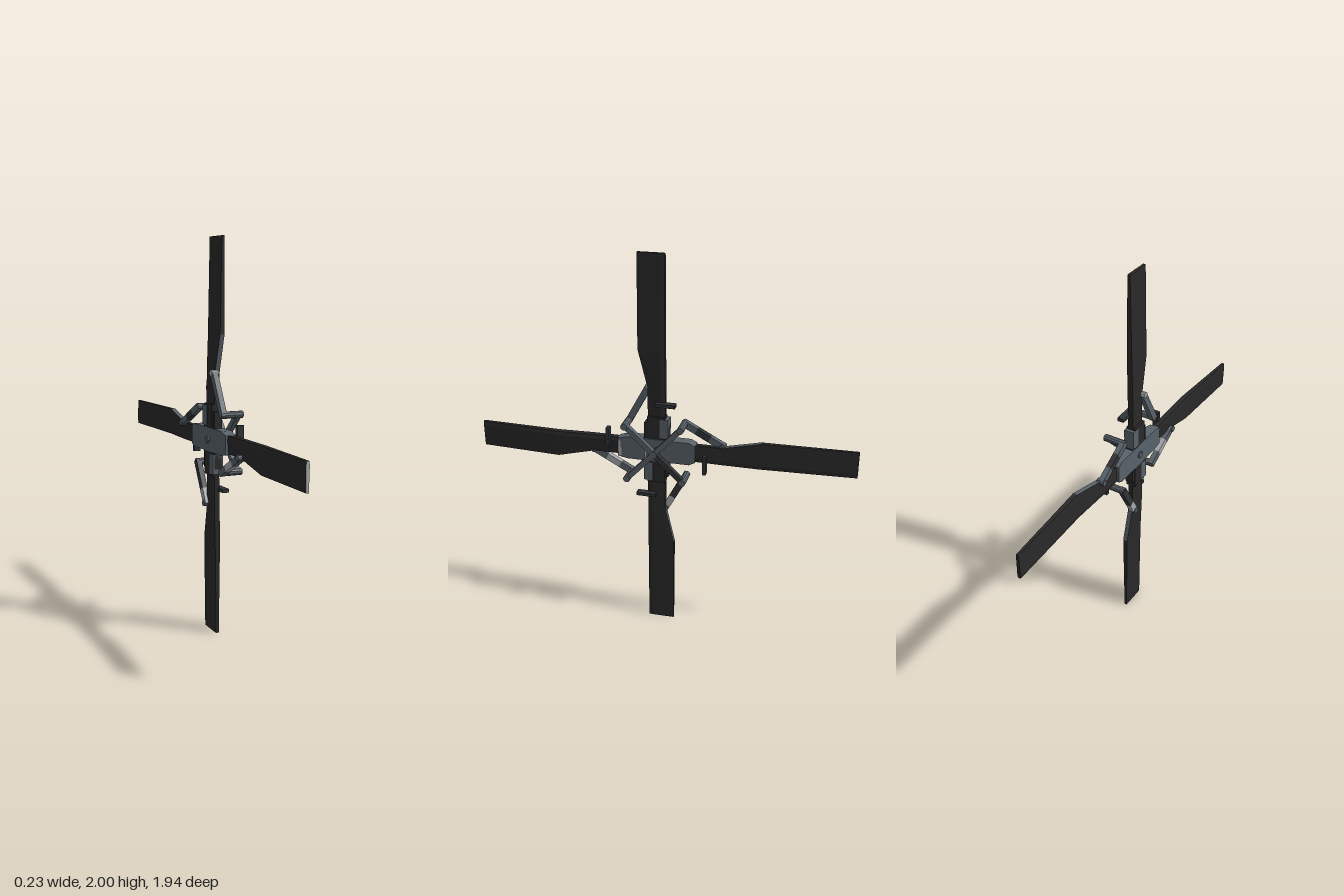
import * as THREE from 'three';

const mat = (name, color) => {
  const m = new THREE.MeshStandardMaterial({ color, flatShading: true });
  m.name = name;
  return m;
};

// Blade lofted along +y: rows are [radius, leading z, trailing z, half thickness, x offset]
// Face groups: 0 skin, 1 swept trailing edge, 2 tip cap
function bladeGeometry(tip, tipOffset) {
  const rows = [
    [0.05, -0.045, 0.045, 0.016, 0],
    [0.33, -0.045, 0.045, 0.018, 0.002],
    [0.525, -0.043, 0.093, 0.017, 0.007],
    [tip, -0.043, 0.093, 0.009, tipOffset],
  ];
  const pos = [], faces = [[], [], []], n = 6;
  for (const [r, lead, trail, h, dx] of rows) {
    const section = [
      [-0.8 * h, lead], [-h, lead + 0.02], [-0.7 * h, trail],
      [0.7 * h, trail], [h, lead + 0.02], [0.8 * h, lead],
    ];
    for (const [x, z] of section) pos.push(x + dx, r, z);
  }
  for (let i = 0; i < rows.length - 1; i++) {
    for (let j = 0; j < n; j++) {
      const a = i * n + j, b = i * n + (j + 1) % n;
      faces[i === 1 && j === 2 ? 1 : 0].push(a, b, a + n, b, b + n, a + n);
    }
  }
  const last = (rows.length - 1) * n;
  for (let j = 1; j < n - 1; j++) {
    faces[2].push(last, last + j, last + j + 1);
    faces[0].push(0, j + 1, j);
  }
  const g = new THREE.BufferGeometry();
  g.setAttribute('position', new THREE.Float32BufferAttribute(pos, 3));
  g.setIndex(faces.flat());
  let start = 0;
  faces.forEach((f, i) => {
    g.addGroup(start, f.length, i);
    start += f.length;
  });
  const flat = g.toNonIndexed();
  flat.computeVertexNormals();
  return flat;
}

export function createModel() {
  const root = new THREE.Group();
  root.name = 'fourBladeRotor';
  const bladeMat = mat('bladeBlack', 0x292929);
  const metal = mat('blueGreyMetal', 0x59626a);
  const dark = mat('darkMetal', 0x303336);
  const light = mat('lightGrey', 0xa5a8aa);

  const add = (parent, name, geo, material, x = 0, y = 0, z = 0) => {
    const m = new THREE.Mesh(geo, material);
    m.name = name;
    m.position.set(x, y, z);
    parent.add(m);
    return m;
  };
  const box = (parent, name, material, size, at) =>
    add(parent, name, new THREE.BoxGeometry(...size), material, ...at);
  // Bar between two points in a plane of constant x, with one colour per equal segment
  const bar = (parent, name, colours, x, [y0, z0], [y1, z1], width, depth) => {
    const length = Math.hypot(y1 - y0, z1 - z0) / colours.length;
    colours.forEach((c, i) => {
      const t = (i + 0.5) / colours.length;
      const at = [x, y0 + (y1 - y0) * t, z0 + (z1 - z0) * t];
      box(parent, name, c, [depth, length, width], at).rotation.x = Math.atan2(z1 - z0, y1 - y0);
    });
  };
  // Round pin along x
  const pin = (parent, name, material, x0, x1, y, z, radius) => {
    const geo = new THREE.CylinderGeometry(radius, radius, x1 - x0, 10);
    geo.rotateZ(Math.PI / 2);
    add(parent, name, geo, material, (x0 + x1) / 2, y, z);
  };

  // Rotor axis runs along x, slightly turned
  const rotor = new THREE.Group();
  rotor.name = 'rotor';
  rotor.position.set(0.002, 1.003, 0.027);
  rotor.rotation.y = 0.1;
  root.add(rotor);

  // Hub: long fore-and-aft plate with chamfered ends, plus the upright yoke
  const plate = new THREE.Shape([
    [-0.2, -0.045], [-0.17, -0.06], [0.15, -0.06], [0.2, -0.05],
    [0.2, 0.045], [0.15, 0.06], [-0.17, 0.06], [-0.2, 0.045],
  ].map(([z, y]) => new THREE.Vector2(z, y)));
  const plateGeo = new THREE.ExtrudeGeometry(plate, { depth: 0.056, bevelEnabled: false });
  plateGeo.translate(0, 0, -0.028);
  plateGeo.rotateY(-Math.PI / 2);
  add(rotor, 'hubPlate', plateGeo, metal, 0.002);
  box(rotor, 'plateEndStrip', light, [0.004, 0.085, 0.014], [0.031, -0.003, 0.187]);
  box(rotor, 'uprightYoke', bladeMat, [0.05, 0.36, 0.09], [0, 0, 0]);
  box(rotor, 'yokeClamp', bladeMat, [0.042, 0.29, 0.125], [0, 0, 0]);
  for (const s of [1, -1]) {
    box(rotor, 'yokeSidePlate', metal, [0.054, 0.1, 0.045], [0, s * 0.12, -s * 0.04]);
  }
  pin(rotor, 'shaft', metal, -0.035, 0.085, 0, 0, 0.018);
  box(rotor, 'spiderFrontPlate', light, [0.024, 0.08, 0.006], [0.068, 0, 0.045]);

  // Four arms repeated around the axis
  const tips = [[0.997, 0.01], [0.945, -0.012], [1.003, 0.007], [0.998, -0.012]];
  const linkColours = [
    [metal], [metal, light, metal], [dark, dark, light], [metal, dark, metal],
  ];
  for (let k = 0; k < 4; k++) {
    const arm = new THREE.Group();
    arm.name = 'bladeArm' + (k + 1);
    arm.rotation.x = k * Math.PI / 2;
    rotor.add(arm);

    add(arm, 'blade', bladeGeometry(...tips[k]), [bladeMat, metal, k === 1 ? light : bladeMat]);
    box(arm, 'droopStop', dark, [0.035, 0.018, 0.1], [0.025, 0.25, -0.05]);

    // Pitch control: spider arm, cross pin and link to the trailing edge
    bar(arm, 'spiderArm', [k === 2 ? dark : metal], 0.068, [0, 0], [0.138, 0.148], 0.027, 0.026);
    pin(arm, 'spiderPin', metal, -0.025, 0.09, 0.138, 0.148, 0.018);
    bar(arm, 'pitchLink', linkColours[k], -0.014, [0.13, 0.152], [0.335, 0.042], 0.034, 0.028);
    pin(arm, 'linkEndPin', k === 0 ? light : metal, -0.033, 0.008, 0.335, 0.043, 0.016);
  }
  return root;
}
